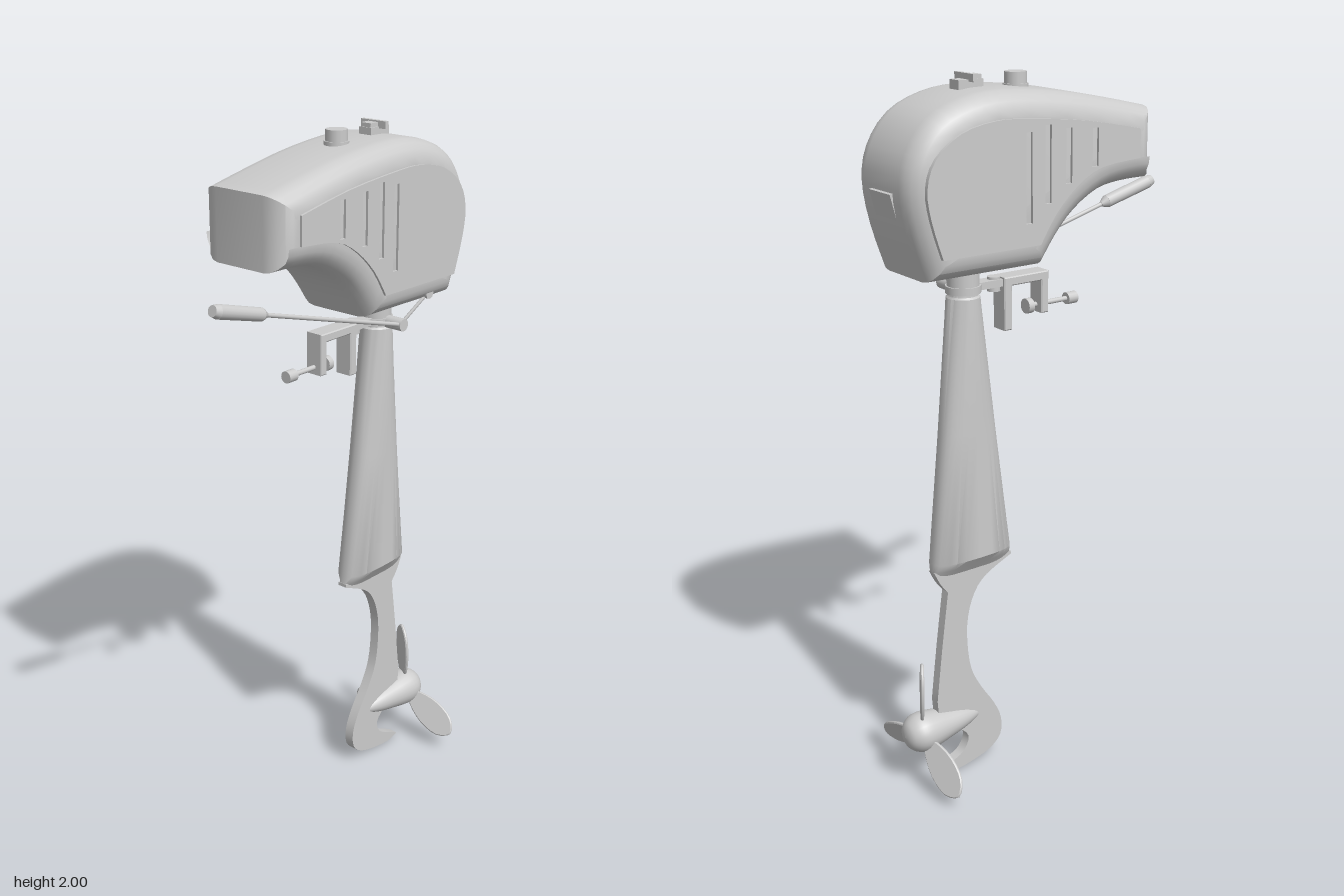
import * as THREE from 'three';
import { toCreasedNormals } from 'three/addons/utils/BufferGeometryUtils.js';

const material = new THREE.MeshStandardMaterial({ color: 0xcccccc });
const V = (x, y, z = 0) => new THREE.Vector3(x, y, z);

function add(parent, name, geometry, x = 0, y = 0, z = 0) {
  const mesh = new THREE.Mesh(geometry, material);
  mesh.name = name;
  mesh.position.set(x, y, z);
  parent.add(mesh);
  return mesh;
}

const box = (parent, name, w, h, d, x, y, z = 0) =>
  add(parent, name, new THREE.BoxGeometry(w, h, d), x, y, z);

// Cylinder between two points
function rod(parent, name, a, b, r0, r1 = r0, sides = 16) {
  const dir = b.clone().sub(a);
  const mesh = add(parent, name, new THREE.CylinderGeometry(r1, r0, dir.length(), sides));
  mesh.position.copy(a).addScaledVector(dir, 0.5);
  mesh.quaternion.setFromUnitVectors(V(0, 1, 0), dir.normalize());
  return mesh;
}

// Closed outline made of smooth runs that meet at sharp corners
function outline(...runs) {
  const points = [];
  for (const run of runs) {
    const pts = run.map(([x, y]) => new THREE.Vector2(x, y));
    const smooth = pts.length > 2 ? new THREE.SplineCurve(pts).getPoints((pts.length - 1) * 3) : pts;
    for (const p of smooth) {
      if (!points.length || points[points.length - 1].distanceTo(p) > 1e-4) points.push(p);
    }
  }
  if (points[0].distanceTo(points[points.length - 1]) < 1e-4) points.pop();
  return new THREE.Shape(points);
}

// Plate centred on z = 0, with rounded edges cut into its outline
function slab(shape, thickness, bevel, segments = 1) {
  const depth = thickness - 2 * bevel;
  const geometry = new THREE.ExtrudeGeometry(shape, {
    depth, bevelEnabled: bevel > 0, bevelSize: bevel, bevelThickness: bevel,
    bevelOffset: -bevel, bevelSegments: segments,
  });
  geometry.translate(0, 0, -depth / 2);
  return toCreasedNormals(geometry, 0.6);
}

// Vertical loft through rings [y, xMin, xMax, halfDepth, exponent]
function loft(rings) {
  const n = rings.length - 1;
  const geometry = new THREE.CylinderGeometry(1, 1, 1, 28, n);
  const p = geometry.attributes.position;
  const bend = (v, e) => Math.sign(v) * Math.abs(v) ** e;
  for (let i = 0; i < p.count; i++) {
    const [y, x0, x1, hz, e] = rings[Math.round((0.5 - p.getY(i)) * n)];
    p.setXYZ(i, (x0 + x1) / 2 + bend(p.getX(i), e) * (x1 - x0) / 2, y, bend(p.getZ(i), e) * hz);
  }
  return toCreasedNormals(geometry, 0.6);
}

function buildCowl(parent) {
  const cowl = new THREE.Group();
  cowl.name = 'engineCowl';
  parent.add(cowl);

  const shell = outline(
    [[0.07, 1.505], [0.42, 1.505]],
    [[0.42, 1.505], [0.462, 1.63], [0.48, 1.74], [0.462, 1.83], [0.4, 1.91], [0.3, 1.953],
      [0.18, 1.966], [0, 1.95], [-0.16, 1.92], [-0.295, 1.89]],
    [[-0.295, 1.89], [-0.295, 1.697]],
    [[-0.295, 1.697], [-0.2, 1.695], [-0.12, 1.68], [-0.04, 1.635], [0.02, 1.575], [0.07, 1.505]],
  );
  add(cowl, 'cowlShell', slab(shell, 0.29, 0.065, 5));

  // Raised side panels with vent slots
  const panel = outline(
    [[0.1, 1.57], [0.4, 1.57]],
    [[0.4, 1.57], [0.432, 1.67], [0.442, 1.75], [0.415, 1.82], [0.34, 1.875], [0.24, 1.897],
      [0.14, 1.895], [-0.05, 1.875], [-0.23, 1.84]],
    [[-0.23, 1.84], [-0.23, 1.762]],
    [[-0.23, 1.762], [-0.1, 1.75], [-0.02, 1.71], [0.05, 1.645], [0.1, 1.57]],
  );
  for (const [x, y0, y1] of [[-0.077, 1.755, 1.855], [0.01, 1.72, 1.862],
    [0.077, 1.675, 1.875], [0.137, 1.63, 1.862]]) {
    const slot = new THREE.Path();
    slot.moveTo(x - 0.01, y0).lineTo(x - 0.01, y1).lineTo(x + 0.01, y1).lineTo(x + 0.01, y0);
    slot.closePath();
    panel.holes.push(slot);
  }
  for (const side of [1, -1]) {
    add(cowl, side > 0 ? 'frontSidePanel' : 'backSidePanel', slab(panel, 0.012, 0), 0, 0, side * 0.146);
  }

  // Rear plate, fuel cap and starter grip
  box(cowl, 'rearPlate', 0.012, 0.12, 0.1, 0.466, 1.672).rotation.z = -0.26;
  rod(cowl, 'fuelCap', V(0.07, 1.94), V(0.07, 1.995), 0.03);
  rod(cowl, 'fuelCapNeck', V(0.07, 1.93), V(0.07, 1.965), 0.034);
  box(cowl, 'starterBase', 0.075, 0.03, 0.042, 0.222, 1.97);
  box(cowl, 'starterBlock', 0.035, 0.022, 0.034, 0.205, 1.985);
  box(cowl, 'starterGrip', 0.012, 0.02, 0.085, 0.224, 1.99);
  rod(cowl, 'linkScrew', V(0.32, 1.527, 0.07), V(0.32, 1.527, 0.13), 0.016);
}

function buildLeg(parent) {
  add(parent, 'neck', new THREE.CylinderGeometry(0.044, 0.044, 0.06, 24), 0.243, 1.485);
  add(parent, 'legFairing', loft([
    [1.47, 0.205, 0.282, 0.038, 1], [1.43, 0.203, 0.286, 0.042, 1], [1.425, 0.198, 0.29, 0.047, 1],
    [1.05, 0.154, 0.326, 0.048, 0.85], [0.68, 0.108, 0.364, 0.048, 0.7],
    [0.655, 0.105, 0.366, 0.03, 0.7], [0.635, 0.122, 0.358, 0.016, 0.7],
  ]));
  // Thin lower strut with the hooked fin
  const strut = outline(
    [[0.365, 0.655], [0.105, 0.655]],
    [[0.105, 0.645], [0.19, 0.605], [0.232, 0.56], [0.256, 0.49], [0.26, 0.41], [0.248, 0.32],
      [0.215, 0.25], [0.17, 0.18], [0.145, 0.12], [0.148, 0.065], [0.185, 0.03], [0.25, 0.01],
      [0.32, 0.001], [0.365, 0.01]],
    [[0.365, 0.01], [0.325, 0.032], [0.28, 0.055], [0.262, 0.1], [0.3, 0.14], [0.36, 0.17]],
    [[0.36, 0.17], [0.366, 0.25]],
    [[0.366, 0.25], [0.345, 0.42], [0.322, 0.585]],
    [[0.322, 0.585], [0.345, 0.615], [0.365, 0.655]],
  );
  add(parent, 'strutAndFin', slab(strut, 0.03, 0));
}

function buildPropeller(parent) {
  // Pointed gearcase ending in a round hub
  const profile = [[0, -0.21], [0.016, -0.18], [0.033, -0.13], [0.046, -0.07], [0.054, -0.03],
    [0.058, 0.005], [0.053, 0.03], [0.038, 0.05], [0.02, 0.059], [0, 0.062]];
  const curve = new THREE.SplineCurve(profile.map(([r, y]) => new THREE.Vector2(r, y)));
  const points = curve.getPoints(30).map((p) => new THREE.Vector2(Math.max(p.x, 0), p.y));
  add(parent, 'gearcase', new THREE.LatheGeometry(points, 24), 0.407, 0.163).rotation.z = -Math.PI / 2;

  const blade = outline([[0, 0.02], [0.028, 0.06], [0.044, 0.125], [0.036, 0.19], [0, 0.222],
    [-0.036, 0.19], [-0.044, 0.125], [-0.028, 0.06], [0, 0.02]]);
  const geometry = slab(blade, 0.01, 0.003);
  geometry.rotateY(Math.PI / 3);
  for (let i = 0; i < 3; i++) {
    add(parent, 'propellerBlade', geometry, 0.412, 0.163).rotation.x = -0.05 + i * Math.PI * 2 / 3;
  }
}

function buildClampAndTiller(parent) {
  // C-shaped transom clamp
  const clamp = outline([[-0.02, 1.345], [0.004, 1.345]], [[0.004, 1.437], [0.102, 1.437]],
    [[0.102, 1.315], [0.128, 1.315]], [[0.128, 1.462], [-0.02, 1.462]]);
  add(parent, 'clampBracket', slab(clamp, 0.055, 0.003));
  rod(parent, 'clampScrew', V(-0.12, 1.365), V(0.03, 1.365), 0.007);
  rod(parent, 'clampKnob', V(-0.132, 1.365), V(-0.1, 1.365), 0.017);
  rod(parent, 'clampPad', V(0.022, 1.365), V(0.04, 1.365), 0.021, 0.021);
  box(parent, 'clampArm', 0.1, 0.02, 0.04, 0.17, 1.448);
  rod(parent, 'clampPivot', V(0.145, 1.425), V(0.145, 1.465), 0.018);
  rod(parent, 'swivelCollar', V(0.243, 1.436), V(0.243, 1.456), 0.048, 0.048, 24);

  // Steering tiller with its grip and link
  const z = 0.09;
  rod(parent, 'tillerPivot', V(0.245, 1.445, 0.02), V(0.245, 1.445, 0.1), 0.018);
  rod(parent, 'tillerRod', V(0.25, 1.443, z), V(-0.32, 1.599, z), 0.006);
  rod(parent, 'gripTip', V(-0.295, 1.592, z), V(-0.315, 1.598, z), 0.007, 0.018);
  rod(parent, 'tillerGrip', V(-0.315, 1.598, z), V(-0.465, 1.638, z), 0.018, 0.019);
  rod(parent, 'gripEnd', V(-0.465, 1.638, z), V(-0.482, 1.643, z), 0.019, 0.015);
  rod(parent, 'throttleLink', V(0.25, 1.445, 0.085), V(0.32, 1.527, 0.122), 0.005);
}

export function createModel() {
  const model = new THREE.Group();
  model.name = 'outboardMotor';
  const motor = new THREE.Group();
  motor.name = 'motor';
  motor.position.z = -0.013;
  model.add(motor);
  buildCowl(motor);
  buildLeg(motor);
  buildPropeller(motor);
  buildClampAndTiller(motor);
  return model;
}
